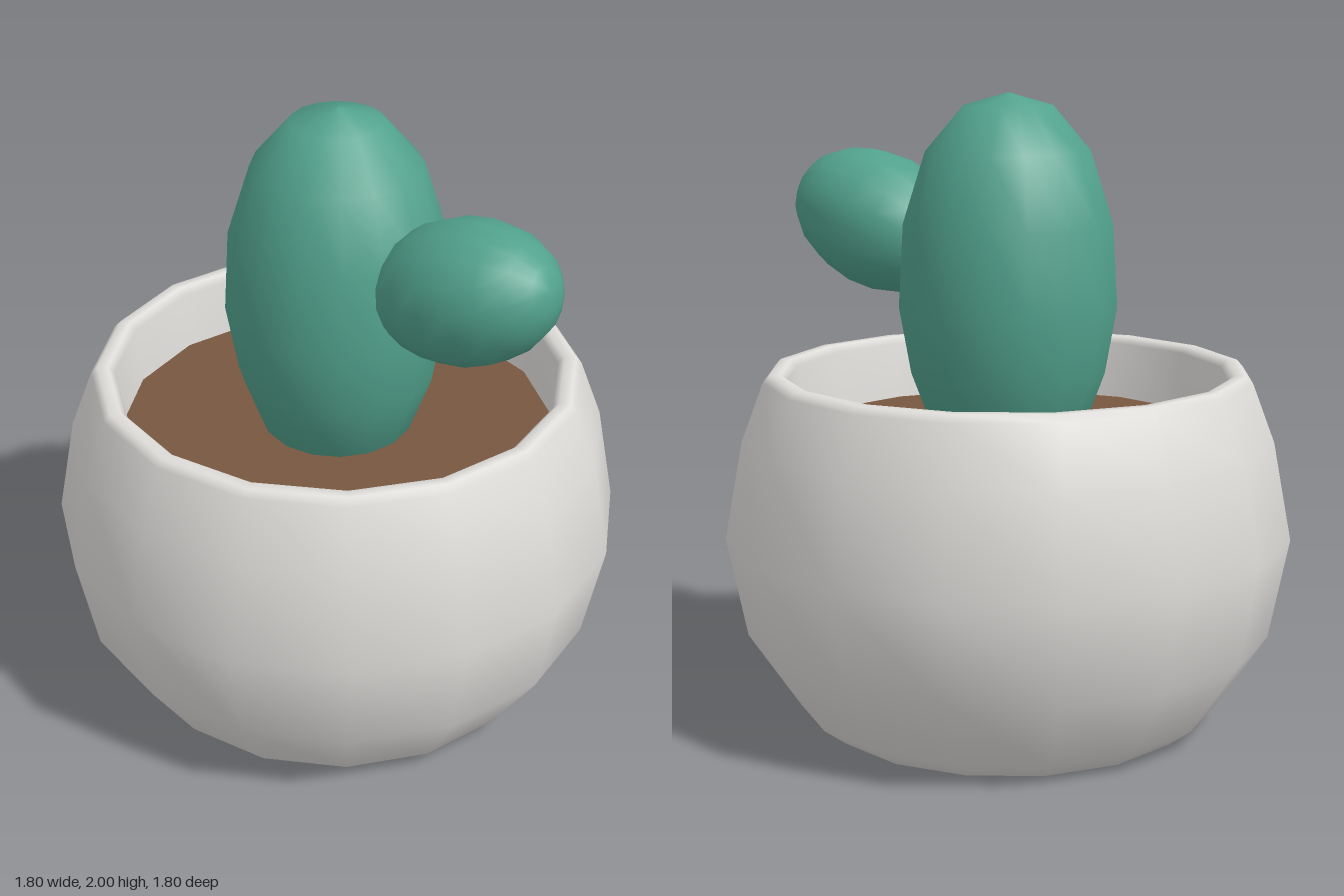
import * as THREE from 'three';

const SIDES = 16;

function material(name, color) {
  const m = new THREE.MeshStandardMaterial({ color });
  m.name = name;
  return m;
}

function lathe(points) {
  return new THREE.LatheGeometry(points.map(([r, y]) => new THREE.Vector2(r, y)), SIDES);
}

export function createModel() {
  const model = new THREE.Group();
  model.name = 'pottedCactus';

  const ceramic = material('ceramic', 0xe0dedb);
  const earth = material('earth', 0x785740);
  const green = material('cactusGreen', 0x52a28d);

  function add(name, geometry, mat) {
    const mesh = new THREE.Mesh(geometry, mat);
    mesh.name = name;
    model.add(mesh);
    return mesh;
  }

  // Rounded pot: base, bulging wall, bevelled rim and inner wall
  add('pot', lathe([
    [0, 0], [0.57, 0], [0.605, 0.003], [0.68, 0.06], [0.84, 0.3], [0.903, 0.62],
    [0.845, 0.93], [0.775, 1.115], [0.755, 1.137], [0.72, 1.137], [0.7, 1.115], [0.68, 0.88],
  ]), ceramic);

  // Flat soil disc inside the pot
  const soil = add('soil', new THREE.CircleGeometry(0.685, SIDES), earth);
  soil.rotation.x = -Math.PI / 2;
  soil.position.y = 0.93;

  // Upright stem, widest below the middle
  add('stem', lathe([
    [0, 0.8], [0.15, 0.85], [0.24, 0.94], [0.31, 1.13], [0.347, 1.34],
    [0.332, 1.6], [0.262, 1.82], [0.142, 1.96], [0, 2],
  ]), green);

  // Egg-shaped arm growing forward and slightly upward
  const egg = new THREE.SphereGeometry(1, SIDES, 10);
  egg.scale(0.22, 0.32, 0.22);
  const arm = add('arm', egg, green);
  arm.rotation.x = THREE.MathUtils.degToRad(70);
  arm.position.set(0, 1.575, 0.506);

  // Slight turn of the whole plant and pot
  model.rotation.y = THREE.MathUtils.degToRad(-5);
  return model;
}
